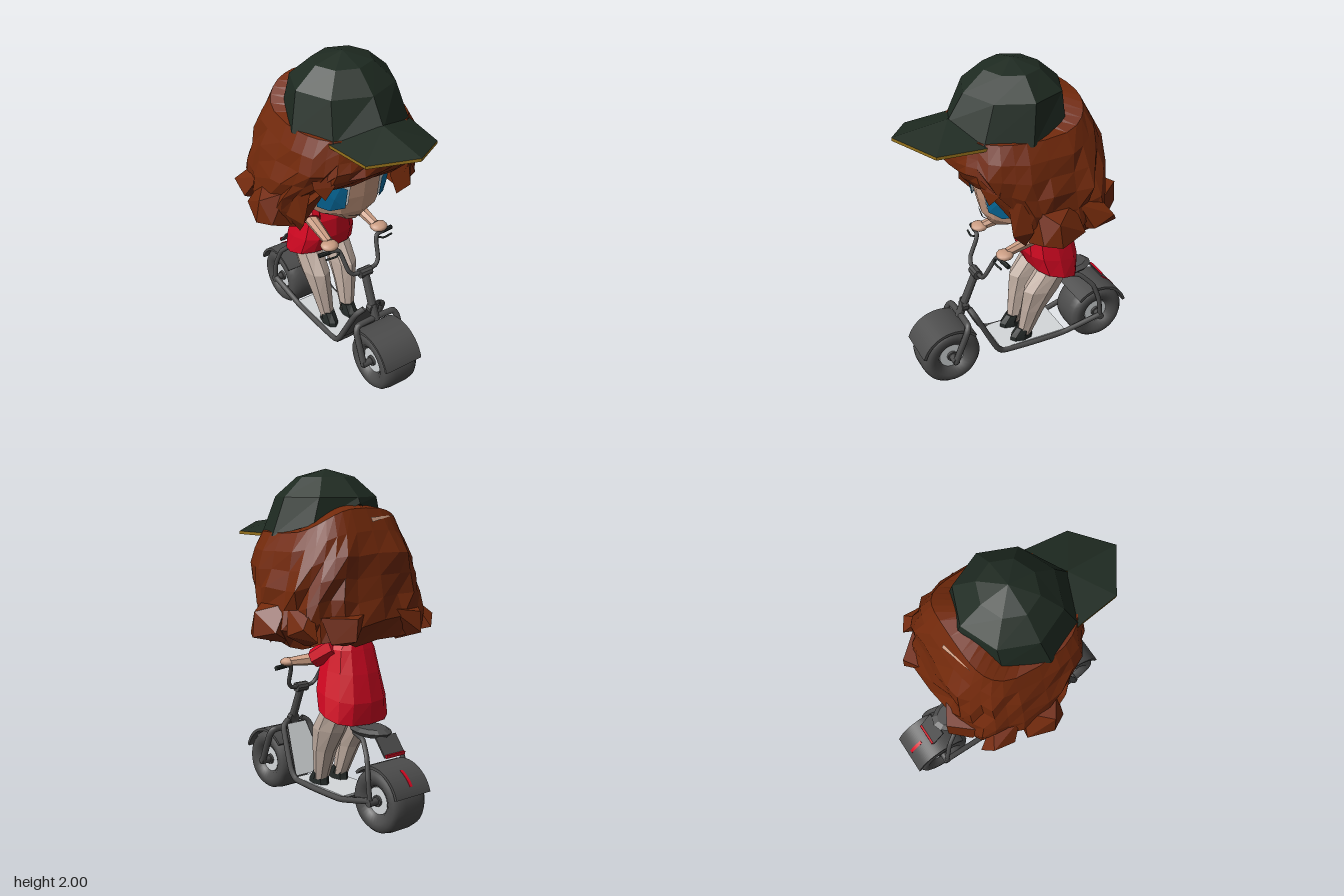
import * as THREE from 'three';
import { ConvexGeometry } from 'three/addons/geometries/ConvexGeometry.js';

const mat = (name, color, side = THREE.FrontSide) => new THREE.MeshStandardMaterial({ name, color, side });
const D = THREE.DoubleSide;
const M = {
  cap: mat('cap green', 0x1e2a21, D), gold: mat('brim gold', 0x96721c, D), hair: mat('auburn', 0x72290b, D),
  skin: mat('skin', 0xcb9d83), pale: mat('pale grey', 0xd4d8da, D), blue: mat('eye blue', 0x066fa3, D),
  red: mat('red', 0xd40822), stocking: mat('stocking', 0xbfaca0), metal: mat('scooter grey', 0x4c4c4c, D),
  black: mat('near black', 0x242a28, D),
};
const V = (x, y, z) => new THREE.Vector3(x, y, z);
const noise = (n) => { const s = Math.sin(n * 127.1 + 3.7) * 43758.5453; return (s - Math.floor(s)) * 2 - 1; };
const rad = THREE.MathUtils.degToRad;
const bend = (v, e) => Math.sign(v) * Math.abs(v) ** e;

function tris(list) {
  const g = new THREE.BufferGeometry().setFromPoints(list);
  g.computeVertexNormals();
  return g;
}
const fan = (p) => p.slice(2).flatMap((q, i) => [p[0], p[i + 1], q]);

// Faceted skin over rows of points, bottom row first
function loft(rows, closed = true, caps = closed) {
  const out = [], n = rows[0].length;
  for (let i = 0; i + 1 < rows.length; i++)
    for (let j = 0; j < (closed ? n : n - 1); j++) {
      const k = (j + 1) % n, [a, b, c, d] = [rows[i][j], rows[i][k], rows[i + 1][k], rows[i + 1][j]];
      out.push(a, b, c, a, c, d);
    }
  if (caps) out.push(...fan([...rows[0]].reverse()), ...fan(rows[rows.length - 1]));
  return tris(out);
}
// Rounded row: tilt raises the front, a low e makes it boxier
function ring([cx, cy, cz, rx, rz, tilt = 0], n, e = 1) {
  return Array.from({ length: n }, (_, i) => {
    const a = (i / n) * Math.PI * 2, z = rz * bend(Math.cos(a), e);
    return V(cx + rx * bend(Math.sin(a), e), cy + tilt * z, cz + z);
  });
}
const body = (rings, n, e) => loft(rings.map((r) => ring(r, n, e)));

// Tapered faceted cylinder between two points
function bone(a, b, r1, r2, n = 7) {
  const d = b.clone().sub(a);
  const g = new THREE.CylinderGeometry(r2, r1, d.length(), n).toNonIndexed();
  g.applyQuaternion(new THREE.Quaternion().setFromUnitVectors(V(0, 1, 0), d.normalize()));
  g.translate((a.x + b.x) / 2, (a.y + b.y) / 2, (a.z + b.z) / 2);
  g.computeVertexNormals();
  return g;
}
const tube = (pts, r) => new THREE.TubeGeometry(
  new THREE.CatmullRomCurve3(pts.map((p) => V(...p)), false, 'catmullrom', 0.25), pts.length * 7, r, 8);
const box = (w, h, d, x, y, z, rx = 0) => new THREE.BoxGeometry(w, h, d).rotateX(rx).translate(x, y, z);

// Curved band around a wheel, angles from +z over the top
function band(r1, r2, from, to, width, y, z) {
  const s = new THREE.Shape();
  s.absarc(0, 0, r2, rad(from), rad(to), false);
  s.absarc(0, 0, r1, rad(to), rad(from), true);
  return new THREE.ExtrudeGeometry(s, { depth: width, bevelEnabled: false, curveSegments: 20 })
    .translate(0, 0, -width / 2).rotateY(-Math.PI / 2).translate(0, y, z);
}

// Hair outline by height: y, half width, front depth, back depth
const hairProfile = [[1, 0.37, 0.14, 0.38], [1.12, 0.46, 0.16, 0.475], [1.22, 0.465, 0.2, 0.465], [1.32, 0.455, 0.27, 0.445],
  [1.36, 0.445, 0.34, 0.445], [1.45, 0.42, 0.42, 0.44], [1.56, 0.385, 0.4, 0.43], [1.65, 0.338, 0.385, 0.395],
  [1.8, 0.29, 0.3, 0.31]];
function hairPoint(a, y, swell) {
  const i = Math.max(0, hairProfile.findIndex((p) => p[0] > y) - 1);
  const t = (y - hairProfile[i][0]) / (hairProfile[i + 1][0] - hairProfile[i][0]);
  const [, rx, front, back] = hairProfile[i].map((v, k) => (v + (hairProfile[i + 1][k] - v) * t) * swell);
  const c = Math.cos(a), e = c > 0 ? 0.8 : 0.64;
  return V(rx * bend(Math.sin(a), e), y, (c > 0 ? front : back) * bend(c, e));
}

export function createModel() {
  const model = new THREE.Group();
  let parent = model;
  const group = (name) => { parent = new THREE.Group(); parent.name = name; model.add(parent); };
  const add = (name, geo, m) => { const o = new THREE.Mesh(geo, m); o.name = name; parent.add(o); };

  // Scooter wheels and fenders
  group('scooter');
  const tyre = [[0.075, -0.07], [0.09, -0.1], [0.125, -0.122], [0.16, -0.118], [0.18, -0.095], [0.188, -0.05],
    [0.188, 0.05], [0.18, 0.095], [0.16, 0.118], [0.125, 0.122], [0.09, 0.1], [0.075, 0.07]];
  for (const [end, z, a, b] of [['front', 0.476, 17, 138], ['rear', -0.53, 45, 163]]) {
    const wheelPart = (g) => g.rotateZ(Math.PI / 2).translate(0, 0.19, z);
    add(end + 'Tyre', wheelPart(new THREE.LatheGeometry(tyre.map((p) => new THREE.Vector2(...p)), 32)), M.metal);
    add(end + 'Rim', wheelPart(new THREE.CylinderGeometry(0.078, 0.078, 0.17, 24)), M.pale);
    add(end + 'Hub', wheelPart(new THREE.CylinderGeometry(0.032, 0.032, 0.2, 12)), M.metal);
    add(end + 'Axle', wheelPart(new THREE.CylinderGeometry(0.022, 0.022, 0.32, 10)), M.metal);
    add(end + 'Fender', band(0.186, 0.203, a, b, 0.255, 0.19, z), M.metal);
  }
  add('fenderStripe', band(0.2, 0.2055, 117, 148, 0.02, 0.19, -0.53), M.red);

  // Fork, stem and handlebar
  add('fork', tube([[-0.148, 0.18, 0.478], [-0.148, 0.37, 0.4], [-0.125, 0.41, 0.382], [0, 0.415, 0.38],
    [0.125, 0.41, 0.382], [0.148, 0.37, 0.4], [0.148, 0.18, 0.478]], 0.02), M.metal);
  add('stem', bone(V(0, 0.4, 0.385), V(0, 0.69, 0.265), 0.026, 0.024, 12), M.metal);
  add('clamp', bone(V(-0.04, 0.685, 0.268), V(0.04, 0.685, 0.268), 0.03, 0.03, 10), M.metal);
  for (const s of [-1, 1]) {
    add('handlebar', tube([[0, 0.685, 0.268], [s * 0.08, 0.695, 0.262], [s * 0.108, 0.73, 0.25], [s * 0.125, 0.82, 0.205],
      [s * 0.145, 0.852, 0.19], [s * 0.25, 0.848, 0.175]], 0.013), M.metal);
    add('grip', bone(V(s * 0.19, 0.851, 0.184), V(s * 0.258, 0.848, 0.174), 0.014, 0.014, 10), M.black);
    add('brakeLever', tube([[s * 0.14, 0.84, 0.205], [s * 0.17, 0.833, 0.22], [s * 0.235, 0.83, 0.21]], 0.006), M.black);
    // Frame rails and seat stays
    add('frameRail', tube([[s * 0.05, 0.47, 0.335], [s * 0.1, 0.43, 0.315], [s * 0.13, 0.2, 0.205], [s * 0.13, 0.145, 0.15],
      [s * 0.13, 0.135, -0.05], [s * 0.13, 0.137, -0.26], [s * 0.145, 0.195, -0.5], [s * 0.145, 0.2, -0.53]], 0.018), M.metal);
    add('seatStay', tube([[s * 0.06, 0.53, -0.3], [s * 0.085, 0.51, -0.4], [s * 0.125, 0.43, -0.48],
      [s * 0.146, 0.32, -0.515], [s * 0.146, 0.2, -0.53]], 0.015), M.metal);
  }
  add('headLink', bone(V(0, 0.47, 0.33), V(0, 0.47, 0.37), 0.035, 0.035, 10), M.metal);
  add('deckTop', box(0.25, 0.012, 0.44, 0, 0.152, -0.06), M.pale);
  add('deckBase', box(0.25, 0.022, 0.45, 0, 0.134, -0.06), M.metal);
  const shield = (z) => loft([[V(-0.115, 0.16, z), V(0.115, 0.16, z)], [V(-0.07, 0.45, z + 0.145), V(0.07, 0.45, z + 0.145)]], false);
  add('legShield', shield(0.17), M.pale);
  add('shieldFront', shield(0.18), M.metal);

  // Seat, tail plate and light
  add('seat', body([[0, 0.525, -0.37, 0.08, 0.13], [0, 0.55, -0.37, 0.1, 0.145], [0, 0.57, -0.37, 0.075, 0.11]], 12), M.metal);
  add('tailPlate', box(0.15, 0.01, 0.125, 0, 0.492, -0.53, -0.9), M.metal);
  add('tailLight', box(0.14, 0.018, 0.013, 0, 0.449, -0.574), M.red);

  // Legs, shoes, arms and hands
  group('rider');
  for (const s of [-1, 1]) {
    add('leg', body([[s * 0.075, 0.19, -0.02, 0.042, 0.045], [s * 0.09, 0.38, -0.07, 0.064, 0.08],
      [s * 0.1, 0.52, -0.125, 0.08, 0.122], [s * 0.1, 0.66, -0.21, 0.086, 0.105]], 8), M.stocking);
    add('shoe', body([[s * 0.075, 0.16, 0, 0.045, 0.077], [s * 0.075, 0.185, 0, 0.045, 0.073],
      [s * 0.075, 0.238, -0.022, 0.044, 0.052]], 8), M.black);
    add('sleeve', bone(V(s * 0.1, 1.01, -0.18), V(s * 0.155, 0.93, -0.06), 0.068, 0.058), M.red);
    add('forearm', bone(V(s * 0.152, 0.94, -0.1), V(s * 0.165, 0.885, 0.14), 0.042, 0.027), M.skin);
    add('hand', new THREE.IcosahedronGeometry(1, 1).scale(0.055, 0.026, 0.052).translate(s * 0.175, 0.88, 0.16), M.skin);
  }
  add('dress', body([[0, 0.62, -0.22, 0.21, 0.147, 0.28], [0, 0.74, -0.2, 0.195, 0.175, 0.2],
    [0, 0.88, -0.185, 0.165, 0.158, 0.1], [0, 1, -0.19, 0.14, 0.115], [0, 1.075, -0.215, 0.085, 0.065]], 12, 0.78), M.red);
  add('neck', bone(V(0, 1.04, -0.21), V(0, 1.18, -0.09), 0.06, 0.065, 8), M.skin);

  // Head
  group('head');
  const skull = [[0, 1.035, 0.05, 0.1, 0.115, -0.25], [0, 1.09, 0.02, 0.23, 0.2], [0, 1.2, 0, 0.288, 0.245],
    [0, 1.38, 0, 0.29, 0.27], [0, 1.6, 0, 0.27, 0.27]];
  add('face', body(skull, 12), M.skin);
  const onFace = (x, y, lift) => {
    const i = y < 1.2 ? 1 : 2, a = skull[i], b = skull[i + 1], t = (y - a[1]) / (b[1] - a[1]);
    const [, , cz, rx, rz] = a.map((v, k) => v + (b[k] - v) * t);
    return V(x, y, cz + rz * Math.sqrt(1 - (x / rx) ** 2) + lift);
  };
  for (const s of [-1, 1]) {
    const plate = (pts, lift) => tris(fan(pts.map(([x, y]) => onFace(s * x, y, lift))));
    add('eyeWhite', plate([[0.175, 1.24], [0.1, 1.17], [0.098, 1.3], [0.13, 1.33], [0.22, 1.333], [0.258, 1.31],
      [0.25, 1.17], [0.17, 1.14], [0.1, 1.17]], 0.012), M.pale);
    add('iris', plate([[0.178, 1.22], [0.115, 1.15], [0.115, 1.285], [0.15, 1.307], [0.222, 1.3], [0.242, 1.275],
      [0.236, 1.15], [0.185, 1.13], [0.115, 1.15]], 0.019), M.blue);
  }
  add('mouth', tris(fan([V(0, 1.047, 0.208), V(0.095, 1.08, 0.202), V(0, 1.062, 0.222), V(-0.095, 1.08, 0.202)])), M.black);

  // Hair: one mass with a fringe over the face, long at the sides and back
  group('hair');
  const columns = 32, rows = 7;
  const strands = Array.from({ length: columns }, (_, j) => {
    const deg = ((j * 360 / columns + 180) % 360) - 180, a = rad(deg), fringe = Math.abs(deg) < 42;
    const hem = fringe ? 1.345 + 0.0012 * deg + 0.018 * noise(j) : 1.065 + 0.035 * noise(j * 5);
    const rim = 1.65 + 0.14 * Math.max(0, -Math.cos(a)) ** 1.6;
    const strand = Array.from({ length: rows }, (_, i) => {
      const t = i / (rows - 1), rough = (fringe ? 0.025 : 0.06) * (1 - t ** 3);
      return hairPoint(a, hem + (rim - hem) * t, 1 + rough * noise(j + i * 37));
    });
    return [...strand, V(0.2 * Math.sin(a), rim + 0.03, 0.02 + 0.17 * Math.cos(a))];
  });
  add('hairMass', loft(strands[0].map((_, i) => strands.map((s) => s[i])), true, false), M.hair);
  add('hairSlide', tris([[180, 1.715], [212, 1.745], [180, 1.74]].map(([d, y]) => hairPoint(rad(d), y, 1.04))), M.skin);
  const clump = (name, pts) => add(name, new ConvexGeometry(pts.map((p) => V(...p))), M.hair);
  for (const s of [-1, 1]) {
    clump('sideFlip', [[s * 0.41, 1.28, 0.08], [s * 0.41, 1.28, -0.14], [s * 0.36, 1.05, 0.1], [s * 0.37, 1.05, -0.14],
      [s * 0.5, 1.1, 0.08], [s * 0.55, 1.09, -0.01], [s * 0.53, 1.23, 0], [s * 0.51, 1.13, -0.17]]);
    clump('frontLock', [[s * 0.32, 1.4, 0.22], [s * 0.4, 1.4, 0.15], [s * 0.3, 1.16, 0.09], [s * 0.42, 1.15, 0.1],
      [s * 0.37, 1.12, 0.2], [s * 0.34, 1.02, 0.11]]);
    clump('templeLock', [[s * 0.25, 1.48, 0.32], [s * 0.35, 1.5, 0.24], [s * 0.26, 1.4, 0.34], [s * 0.35, 1.38, 0.27],
      [s * 0.3, 1.31, 0.31]]);
    clump('backFlip', [[s * 0.08, 1.24, -0.43], [s * 0.36, 1.22, -0.37], [s * 0.18, 1.05, -0.37], [s * 0.24, 1.1, -0.52],
      [s * 0.23, 1.22, -0.52], [s * 0.33, 1.08, -0.42]]);
    clump('cornerFlip', [[s * 0.36, 1.28, -0.3], [s * 0.43, 1.26, -0.17], [s * 0.36, 1.05, -0.25], [s * 0.48, 1.17, -0.37],
      [s * 0.42, 1.1, -0.42], [s * 0.49, 1.12, -0.24]]);
  }

  // Cap crown, with its rim raised at front and back, and brim
  group('cap');
  const rimHeights = [1.7, 1.63, 1.63, 1.7, 1.81, 1.7, 1.63, 1.63];
  const crown = [[0, 0, 0.07, 0.352, 0.34], [0, 1.845, 0.03, 0.295, 0.285], [0, 1.955, 0.03, 0.17, 0.16],
    [0, 2, 0.03, 0.001, 0.001]].map((r) => ring(r, 8));
  crown[0].forEach((p, i) => { p.y = rimHeights[i]; });
  add('crown', loft(crown), M.cap);
  const edge = [[-0.27, 1.635, 0.24], [-0.23, 1.63, 0.57], [0, 1.675, 0.725], [0.23, 1.63, 0.57], [0.27, 1.635, 0.24]];
  const brim = (drop) => tris(fan([[0, 1.715, 0.405], ...edge].map(([x, y, z]) => V(x, y - drop, z))));
  add('brimTop', brim(0), M.cap);
  add('brimUnderside', brim(0.018), M.gold);
  add('brimEdge', loft([0.018, 0].map((d) => edge.map(([x, y, z]) => V(x, y - d, z))), false), M.gold);
  return model;
}
